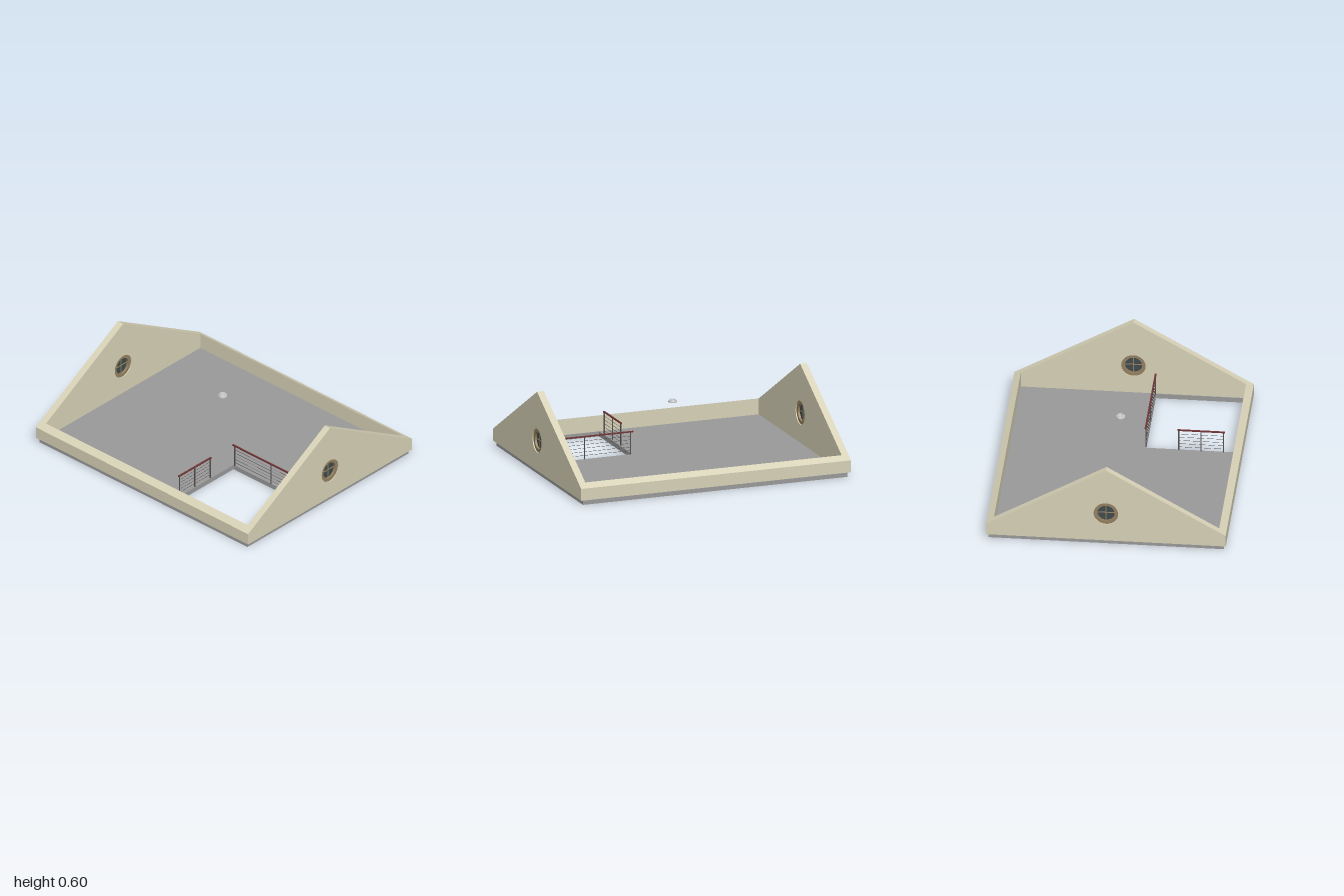
import * as THREE from 'three';

const mat = (color, side = THREE.FrontSide) => new THREE.MeshStandardMaterial({ color, side });
const wallMat = mat(0xd6d1b6);
const floorMat = mat(0x999999);
const frameMat = mat(0x94805f);
const glassMat = mat(0x3f4a4c, THREE.DoubleSide);
const railMat = mat(0x6e3434);
const steelMat = mat(0x55504e);
const lampMat = mat(0xcccccc);

const HX = 1, HZ = 0.83, FLOOR = 0.035, EAVE = 0.12, RIDGE = 0.6, T = 0.05;
const WIN_Y = 0.25, WIN_R = 0.085;

function mesh(name, geometry, material, x = 0, y = 0, z = 0) {
  const m = new THREE.Mesh(geometry, material);
  m.name = name;
  m.position.set(x, y, z);
  return m;
}

const box = (name, material, w, h, d, x, y, z) =>
  mesh(name, new THREE.BoxGeometry(w, h, d), material, x, y, z);

const polygon = pts => new THREE.Shape(pts.map(p => new THREE.Vector2(...p)));

const circle = r => new THREE.Path().absarc(0, 0, r, 0, Math.PI * 2, true);

// Extrudes a side profile (z, y) along x, centred on x = 0
function extrudeX(shape, length) {
  const g = new THREE.ExtrudeGeometry(shape, { depth: length, bevelEnabled: false, curveSegments: 32 });
  g.translate(0, 0, -length / 2);
  g.rotateY(-Math.PI / 2);
  return g;
}

// Floor slab with the stairwell cut out
function makeFloor() {
  const s = polygon([[-0.98, -0.815], [0.98, -0.815], [0.98, 0.815], [-0.98, 0.815]]);
  s.holes.push(new THREE.Path([[0.235, 0.155], [0.235, 0.775], [0.945, 0.775], [0.945, 0.155]]
    .map(p => new THREE.Vector2(...p))));
  const g = new THREE.ExtrudeGeometry(s, { depth: FLOOR, bevelEnabled: false });
  g.rotateX(Math.PI / 2);
  return mesh('floorSlab', g, floorMat, 0, FLOOR, 0);
}

// Gable wall with a round opening
function makeGable(side) {
  const s = polygon([[-HZ, FLOOR], [HZ, FLOOR], [HZ, EAVE], [0, RIDGE], [-HZ, EAVE]]);
  s.holes.push(new THREE.Path().absarc(0, WIN_Y, WIN_R, 0, Math.PI * 2, true));
  return mesh('gableWall', extrudeX(s, T), wallMat, side * (HX - T / 2), 0, 0);
}

// Low eave wall whose top follows the roof slope
function makeEave(side) {
  const rise = (RIDGE - EAVE) / HZ * T;
  const zo = side * HZ, zi = side * (HZ - T);
  const s = polygon([[zo, FLOOR], [zo, EAVE], [zi, EAVE + rise], [zi, FLOOR]]);
  return mesh('eaveWall', extrudeX(s, 2 * (HX - T)), wallMat);
}

// Round window: ring frame, pane and crossed glazing bars
function makeWindow(side) {
  const g = new THREE.Group();
  g.name = 'roundWindow';
  const ring = new THREE.Shape().absarc(0, 0, WIN_R, 0, Math.PI * 2, false);
  ring.holes.push(circle(0.06));
  g.add(mesh('windowFrame', extrudeX(ring, 0.036), frameMat));
  const pane = new THREE.CylinderGeometry(0.062, 0.062, 0.006, 32).rotateZ(Math.PI / 2);
  g.add(mesh('windowPane', pane, glassMat));
  g.add(box('glazingBar', frameMat, 0.014, 0.122, 0.006, 0, 0, 0));
  g.add(box('glazingBar', frameMat, 0.014, 0.006, 0.122, 0, 0, 0));
  g.position.set(side * (HX - T / 2), WIN_Y, 0);
  return g;
}

// Railing along local x: handrail, three posts and five wires
function makeRailing(length, inset) {
  const g = new THREE.Group();
  g.name = 'railing';
  g.add(box('handrail', railMat, length, 0.008, 0.012, 0, 0.196, 0));
  const reach = length / 2 - inset;
  for (const k of [-1, 0, 1]) {
    g.add(box('railPost', steelMat, 0.007, 0.157, 0.007, k * reach, FLOOR + 0.0785, 0));
  }
  for (let i = 1; i <= 5; i++) {
    const wire = new THREE.CylinderGeometry(0.0012, 0.0012, 2 * reach, 6).rotateZ(Math.PI / 2);
    g.add(mesh('railWire', wire, steelMat, 0, FLOOR + i * 0.026, 0));
  }
  return g;
}

// Small round ceiling fitting
function makeLamp() {
  const profile = [[0, 0.436], [0.014, 0.436], [0.015, 0.441], [0.023, 0.441], [0.025, 0.434],
    [0.031, 0.432], [0.031, 0.423], [0.018, 0.423], [0.016, 0.428], [0, 0.428]]
    .reverse().map(p => new THREE.Vector2(...p));
  const g = new THREE.LatheGeometry(profile, 32).toNonIndexed();
  g.computeVertexNormals();
  return mesh('ceilingLamp', g, lampMat, -0.007, 0, 0.005);
}

export function createModel() {
  const model = new THREE.Group();
  model.name = 'attic';
  model.add(makeFloor(), makeLamp());
  for (const side of [-1, 1]) {
    model.add(makeGable(side), makeEave(side), makeWindow(side));
  }

  // Railings on two sides of the stairwell
  const long = makeRailing(0.72, 0.02);
  long.position.set(0.587, 0, 0.155);
  const short = makeRailing(0.33, 0.01);
  short.rotation.y = Math.PI / 2;
  short.position.set(0.228, 0, 0.54);
  model.add(long, short);
  return model;
}
